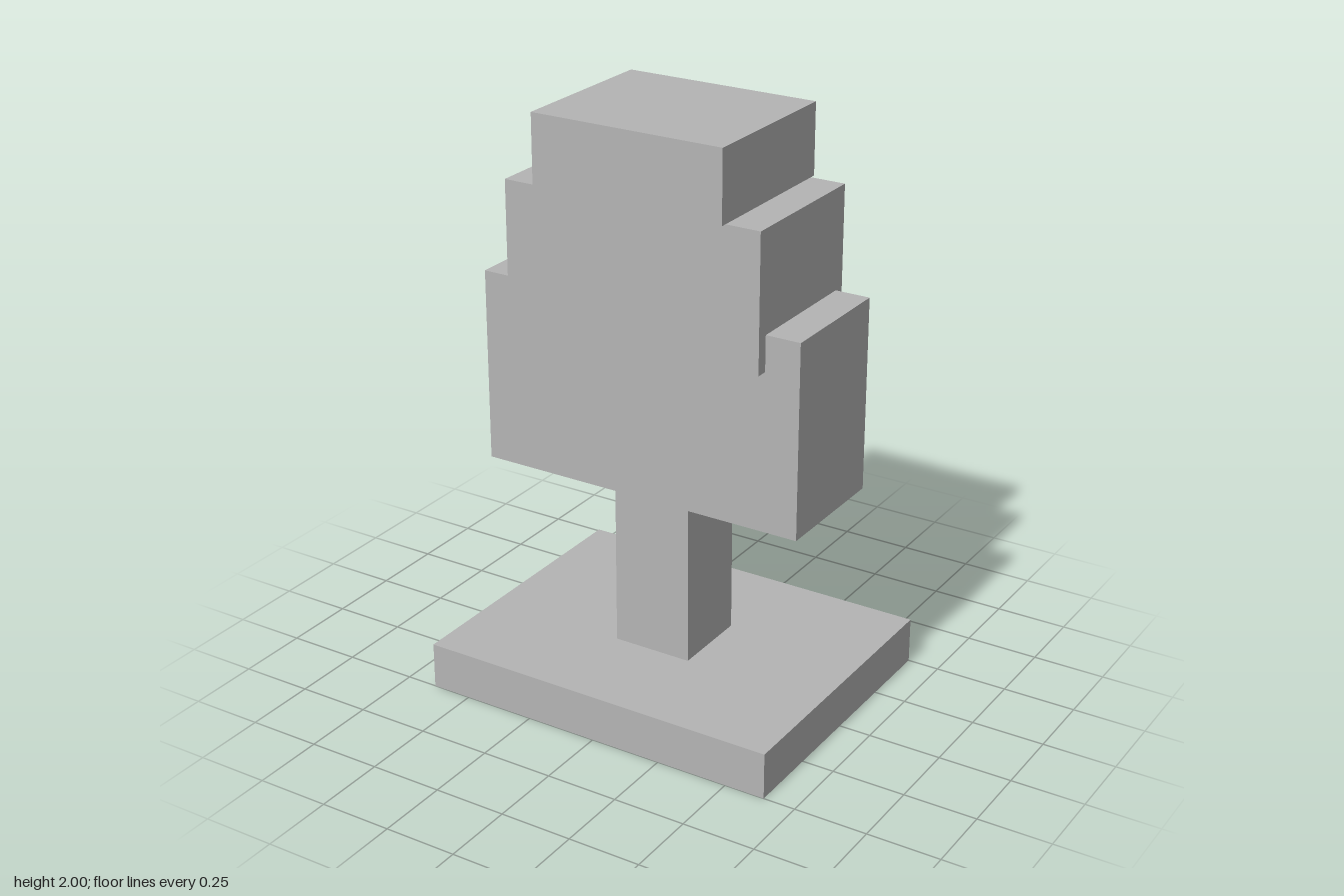
import * as THREE from 'three';

export function createModel() {
  const group = new THREE.Group();
  group.name = 'blockTree';

  const grey = new THREE.MeshStandardMaterial({ color: 0xb4b4b4 });
  grey.name = 'grey';

  // Centred block: width, depth, bottom and top heights
  function addBlock(name, width, depth, bottom, top) {
    const mesh = new THREE.Mesh(new THREE.BoxGeometry(width, top - bottom, depth), grey);
    mesh.name = name;
    mesh.position.y = (bottom + top) / 2;
    group.add(mesh);
  }

  addBlock('base', 1.28, 1.0, 0, 0.16);
  addBlock('trunk', 0.28, 0.28, 0.16, 0.76);

  // Crown tiers get narrower but deeper towards the top
  addBlock('lowerCrown', 1.16, 0.44, 0.76, 1.42);
  addBlock('middleCrown', 0.92, 0.52, 1.3, 1.76);
  addBlock('upperCrown', 0.68, 0.56, 1.76, 2.0);

  return group;
}
